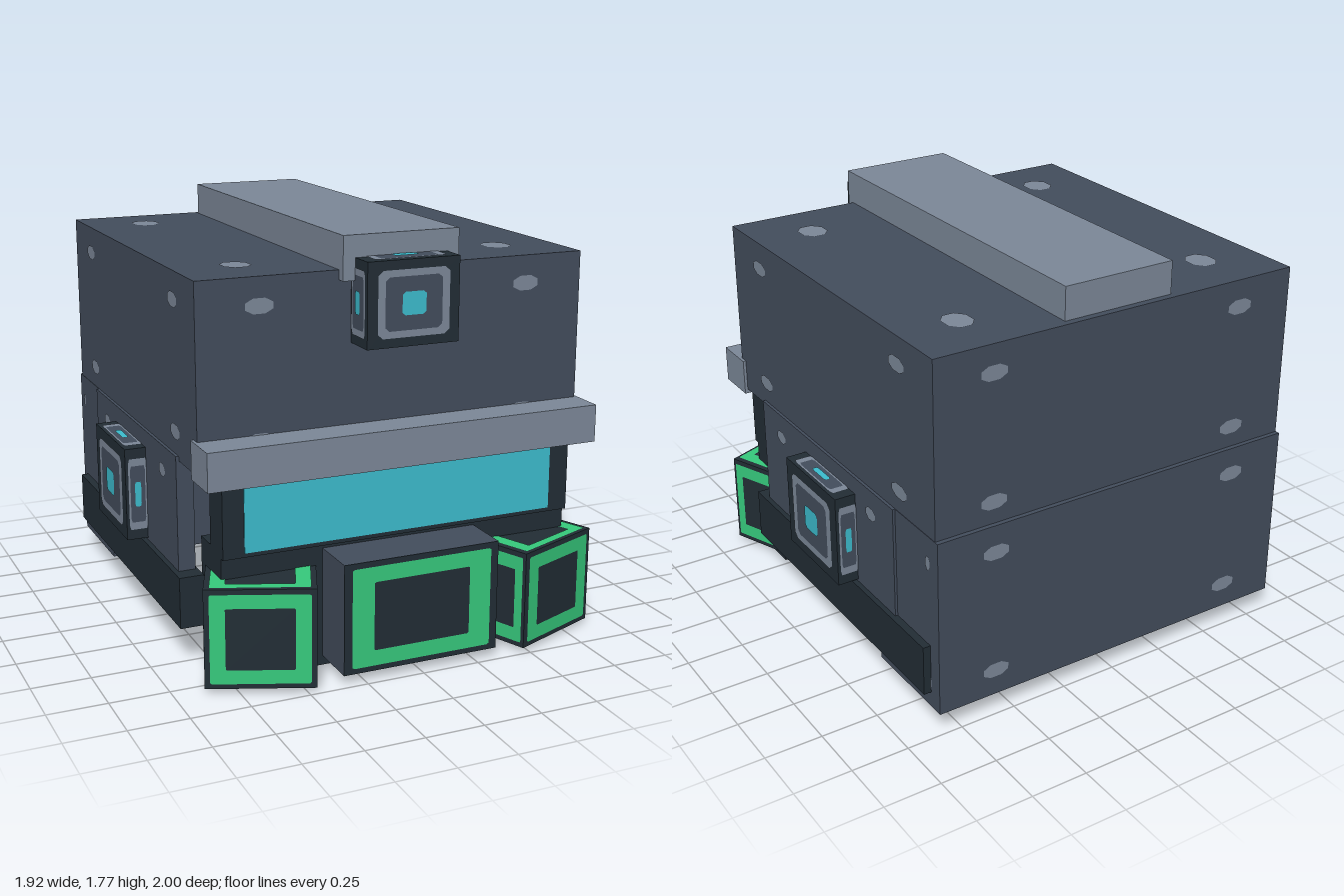
import * as THREE from 'three';

const flat = (name, color, double) => {
  const m = new THREE.MeshStandardMaterial({ color });
  m.name = name;
  return m;
};

// Rounded or chamfered rectangle outline, centred on the origin
function outline(Type, w, h, cut) {
  const x = w / 2, y = h / 2, cx = w * cut, cy = h * cut;
  return new Type([
    [-x + cx, -y], [x - cx, -y], [x, -y + cy], [x, y - cy],
    [x - cx, y], [-x + cx, y], [-x, y - cy], [-x, -y + cy],
  ].map(([a, b]) => new THREE.Vector2(a, b)));
}

function ringShape(w, h, outer, inner, cut) {
  const s = outline(THREE.Shape, w * outer, h * outer, cut);
  s.holes.push(outline(THREE.Path, w * inner, h * inner, cut));
  return s;
}

export function createModel() {
  const model = new THREE.Group();
  model.name = 'boxRobotHead';
  const body = flat('slateBody', 0x434d5c);
  const dark = flat('darkTrim', 0x222d35);
  const steel = flat('lightSteel', 0x7c8898);
  const cyan = flat('cyanGlow', 0x3cbccd);
  const green = flat('greenLight', 0x36c97c);

  // Box given by its lower and upper corners, wrapped in a centred group
  function box(name, [x0, y0, z0], [x1, y1, z1], material) {
    const g = new THREE.Group();
    g.name = name;
    g.userData.size = [x1 - x0, y1 - y0, z1 - z0];
    const mesh = new THREE.Mesh(new THREE.BoxGeometry(...g.userData.size), material);
    mesh.name = name + 'Block';
    g.add(mesh);
    g.position.set((x0 + x1) / 2, (y0 + y1) / 2, (z0 + z1) / 2);
    model.add(g);
    return g;
  }

  // Calls draw(faceGroup, width, height) for each side of a box; local +z points outward
  function onFaces(g, draw) {
    const [w, h, d] = g.userData.size;
    const faces = [
      ['front', w, h, d, 0, 0], ['back', w, h, d, 0, Math.PI],
      ['left', d, h, w, 0, Math.PI / 2], ['right', d, h, w, 0, -Math.PI / 2],
      ['top', w, d, h, -Math.PI / 2, 0], ['bottom', w, d, h, Math.PI / 2, 0],
    ];
    for (const [name, fw, fh, depth, rx, ry] of faces) {
      const f = new THREE.Group();
      f.name = name + 'Face';
      f.rotation.set(rx, ry, 0);
      f.translateZ(depth / 2);
      draw(f, fw, fh);
      g.add(f);
    }
  }

  function plate(f, name, shape, material, z, x = 0, y = 0) {
    const m = new THREE.Mesh(new THREE.ShapeGeometry(shape), material);
    m.name = name;
    m.position.set(x, y, z);
    f.add(m);
  }

  // Four corner bolts on every broad side
  function addBolts(g) {
    onFaces(g, (f, w, h) => {
      if (Math.min(w, h) < 0.12) return;
      for (const sx of [-1, 1]) for (const sy of [-1, 1]) {
        plate(f, 'bolt', outline(THREE.Shape, w * 0.068, h * 0.08, 0.28), steel, 0.003,
          sx * w * 0.346, sy * h * 0.35);
      }
    });
  }

  // Steel ring around a glowing centre on every side
  function addSensor(g) {
    onFaces(g, (f, w, h) => {
      plate(f, 'sensorRing', ringShape(w, h, 0.78, 0.62, 0.07), steel, 0.003);
      plate(f, 'sensorFace', outline(THREE.Shape, w * 0.62, h * 0.62, 0.07), body, 0.003);
      plate(f, 'sensorGlow', outline(THREE.Shape, w * 0.26, h * 0.27, 0.12), cyan, 0.006);
    });
  }

  const frame = (f, w, h) =>
    plate(f, 'lightFrame', ringShape(w, h, 0.9, 0.62, 0.015), green, 0.003);

  // Main housing
  addBolts(box('upperHousing', [-0.85, 0.86, -0.98], [0.85, 1.63, 0.71], body));
  addBolts(box('rearHousing', [-0.852, 0.1, -1], [0.852, 0.88, -0.53], body));
  box('roofRail', [-0.253, 1.59, -0.95], [0.253, 1.77, 0.75], steel);
  box('brow', [-0.863, 0.84, 0.67], [0.863, 1, 0.86], steel);

  // Visor and chin
  box('visorFrame', [-0.78, 0.53, 0.64], [0.78, 0.86, 0.785], dark);
  box('visorScreen', [-0.69, 0.548, 0.78], [0.69, 0.845, 0.789], cyan);
  box('chin', [-0.78, 0, 0.53], [0.78, 0.55, 0.76], dark);

  // Forehead sensor
  addSensor(box('foreheadSensor', [-0.2, 1.335, 0.7], [0.2, 1.68, 0.86], dark));

  // Central headlight
  box('centreLight', [-0.345, 0.04, 0.6], [0.345, 0.51, 0.972], body);
  const lens = box('centreLightLens', [-0.345, 0.04, 0.97], [0.345, 0.51, 0.975], dark);
  const lensFace = new THREE.Group();
  lensFace.position.z = 0.0025;
  frame(lensFace, 0.69, 0.47);
  lens.add(lensFace);

  // Mirrored side parts
  for (const s of [1, -1]) {
    const side = s > 0 ? 'left' : 'right';
    const pair = (name, [x0, y0, z0], [x1, y1, z1], m) => box(side + name,
      [Math.min(s * x0, s * x1), y0, z0], [Math.max(s * x0, s * x1), y1, z1], m);
    addBolts(pair('SidePanel', [0.79, 0.18, -0.68], [0.863, 0.88, 0.48], body));
    pair('SideSkirt', [0.78, 0.17, -0.935], [0.885, 0.39, 0.555], dark);
    addSensor(pair('SideSensor', [0.85, 0.4, -0.37], [0.955, 0.805, 0.07], dark));

    // Angled headlight
    const light = pair('Headlight', [0.4005, 0.022, 0.6445], [0.8455, 0.44, 0.9195], dark);
    light.rotation.y = s * THREE.MathUtils.degToRad(22);
    onFaces(light, frame);
  }
  return model;
}
